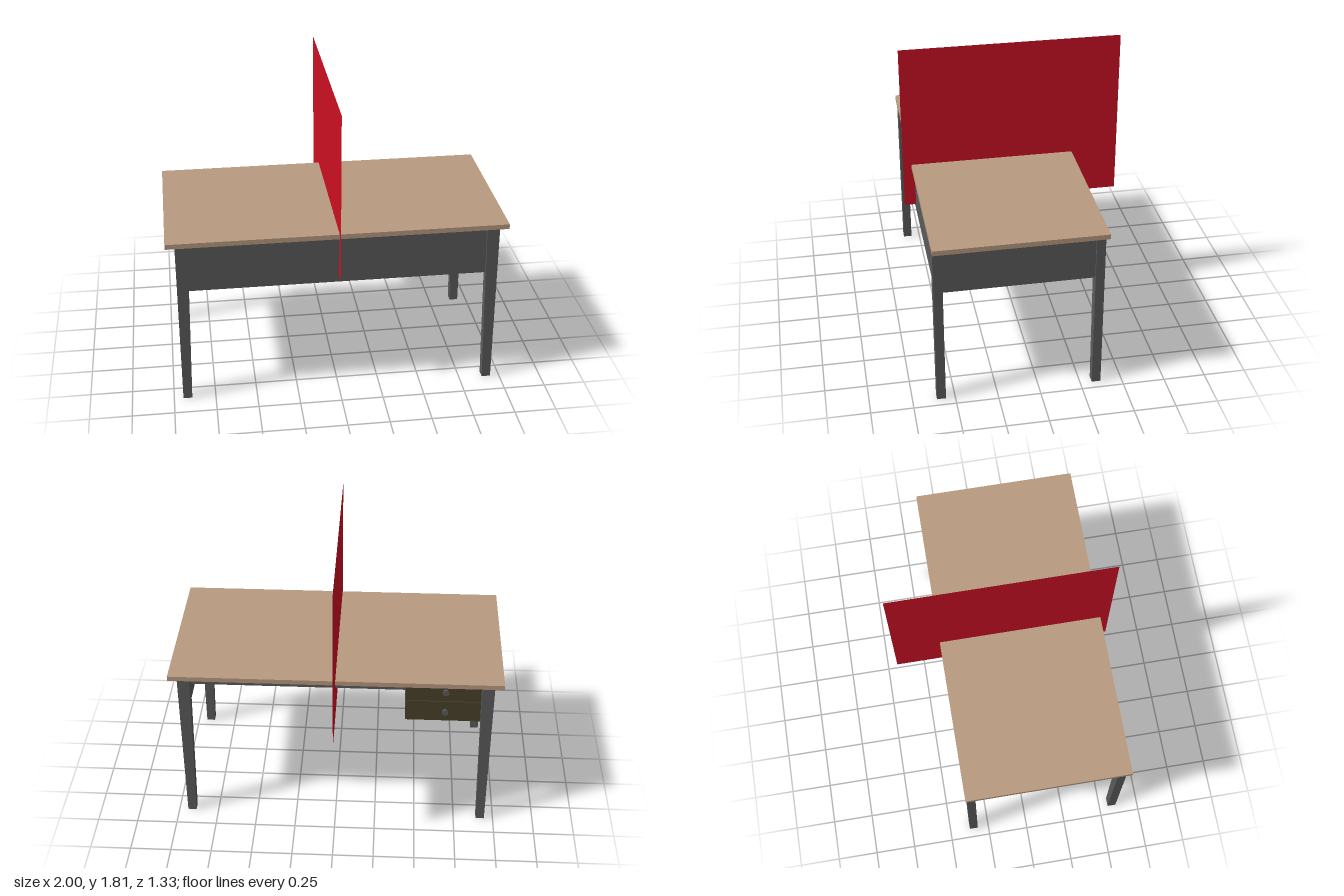
import * as THREE from 'three';

export function createModel() {
  const desk = new THREE.Group();
  desk.name = 'dividedDesk';

  const mat = (name, color, side = THREE.FrontSide) => {
    const m = new THREE.MeshStandardMaterial({ color, side });
    m.name = name;
    return m;
  };
  const wood = mat('tan wood', 0xb8997f);
  const steel = mat('grey steel', 0x5a5a5a);
  const drawerWood = mat('dark drawer wood', 0x494029);
  const red = mat('red screen', 0xcc1023, THREE.DoubleSide);

  const add = (name, geometry, material) => {
    const mesh = new THREE.Mesh(geometry, material);
    mesh.name = name;
    desk.add(mesh);
    return mesh;
  };
  // Box given by its lower and upper limits on each axis
  const box = (name, [x0, x1], [y0, y1], [z0, z1], material) => {
    const g = new THREE.BoxGeometry(x1 - x0, y1 - y0, z1 - z0);
    g.translate((x0 + x1) / 2, (y0 + y1) / 2, (z0 + z1) / 2);
    return add(name, g, material);
  };

  const under = 1.025; // underside of the top
  const skirt = 0.735; // lower edge of the aprons

  // Top
  box('tableTop', [-1, 1], [under, 1.055], [-0.383, 0.613], wood);

  // Legs: straight outer edge, inner edge tapering towards the floor
  for (const side of [-1, 1]) {
    const profile = new THREE.Shape([
      new THREE.Vector2(side * 0.945, 0),
      new THREE.Vector2(side * 0.945, under),
      new THREE.Vector2(side * 0.87, under),
      new THREE.Vector2(side * 0.892, 0),
    ]);
    for (const [name, z] of [['frontLeg', 0.555], ['backLeg', -0.373]]) {
      const g = new THREE.ExtrudeGeometry(profile, { depth: 0.053, bevelEnabled: false });
      add(name, g, steel).position.z = z;
    }
    // Side apron
    const xs = side > 0 ? [0.905, 0.932] : [-0.932, -0.905];
    box('sideApron', xs, [skirt, under], [-0.32, 0.555], steel);
  }

  // Front apron and the rails below the top
  box('frontApron', [-0.88, 0.88], [skirt, under], [0.56, 0.595], steel);
  box('backRail', [-0.42, 0.905], [0.965, under], [-0.325, -0.295], steel);
  box('middleRail', [-0.42, 0.905], [0.915, under], [-0.1, -0.07], steel);

  // Drawer unit, opening at the back
  box('drawerCase', [-0.905, -0.42], [skirt, under], [-0.3, 0.56], steel);
  for (const [y0, y1] of [[skirt, 0.877], [0.881, under]]) {
    box('drawerFront', [-0.9, -0.42], [y0, y1], [-0.315, -0.3], drawerWood);
    const knob = add('drawerKnob', new THREE.CylinderGeometry(0.02, 0.016, 0.02, 16), steel);
    knob.rotation.x = -Math.PI / 2;
    knob.position.set(-0.66, (y0 + y1) / 2, -0.325);
  }

  // Privacy screen across the middle
  const screen = add('dividerScreen', new THREE.PlaneGeometry(1.33, 1.035), red);
  screen.rotation.y = Math.PI / 2;
  screen.position.set(0, 1.295, 0);

  return desk;
}
